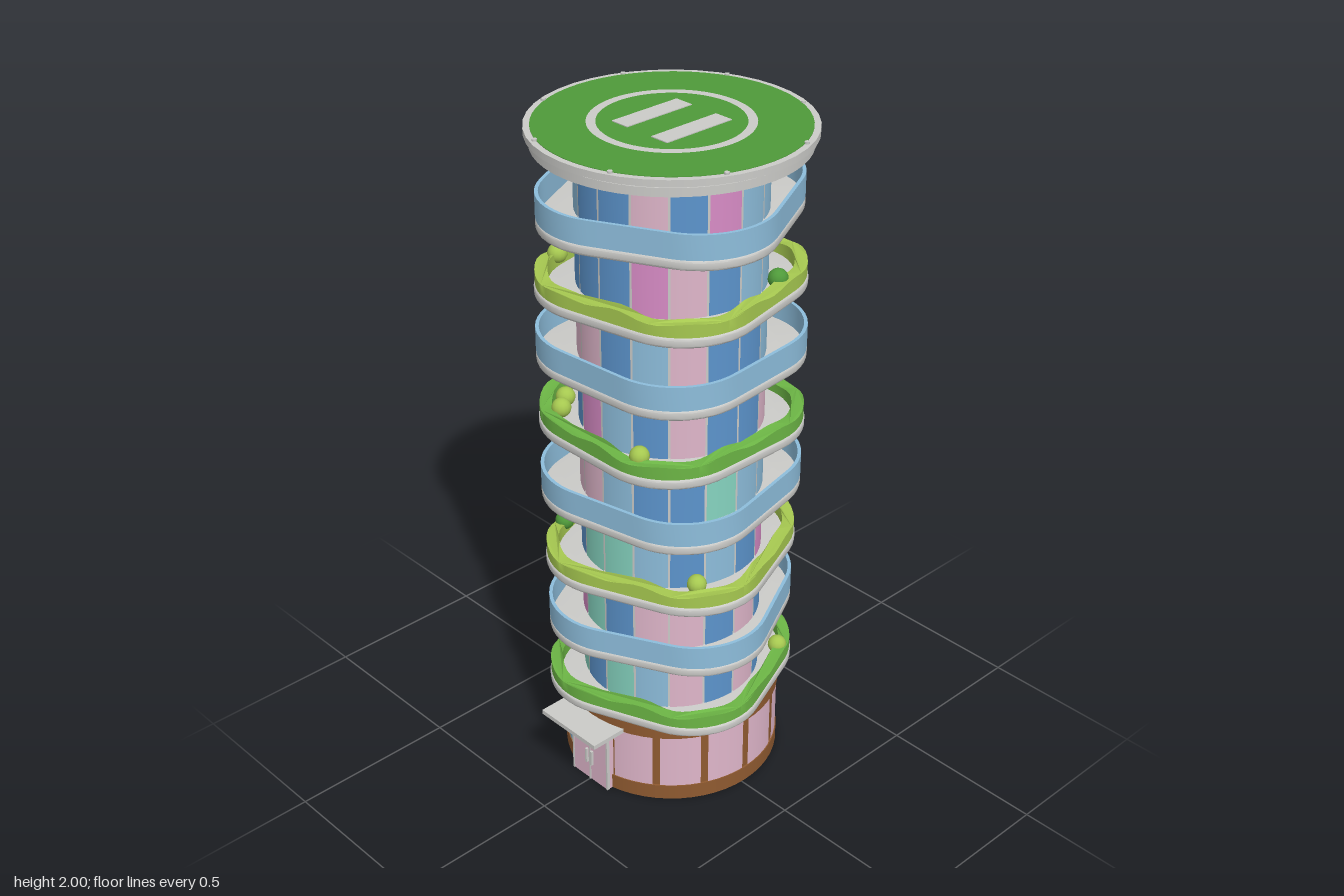
import * as THREE from 'three';
import { mergeGeometries, toCreasedNormals } from 'three/addons/utils/BufferGeometryUtils.js';

const mat = (name, color, side = THREE.FrontSide) => {
  const m = new THREE.MeshStandardMaterial({ color, side });
  m.name = name;
  return m;
};

export function createModel() {
  const M = {
    grey: mat('pale grey', 0xcbcbc8),
    brown: mat('brown', 0x8f5a30),
    dark: mat('deep green', 0x4f9a3a),
    green: mat('leaf green', 0x6cb545),
    lime: mat('lime green', 0xa6c850),
    B: mat('blue glass', 0x5c94cc),
    L: mat('light blue', 0x8dbddb),
    P: mat('pink glass', 0xdfb6ca),
    M: mat('magenta glass', 0xd88cc6),
    T: mat('teal glass', 0x86d4c0),
  };
  const model = new THREE.Group();
  model.name = 'tower';
  const tower = new THREE.Group();
  tower.name = 'building';
  tower.position.z = -0.015;
  model.add(tower);

  const add = (name, geo, material, x = 0, y = 0, z = 0, parent = tower) => {
    const mesh = new THREE.Mesh(geo, material);
    mesh.name = name;
    mesh.position.set(x, y, z);
    parent.add(mesh);
    return mesh;
  };
  const drum = (name, r, y0, y1, material, seg = 56) =>
    add(name, new THREE.CylinderGeometry(r, r, y1 - y0, seg), material, 0, (y0 + y1) / 2);
  const box = (name, w, h, d, material, x, y, z) =>
    add(name, new THREE.BoxGeometry(w, h, d), material, x, y, z);

  // Curved window panes, gathered by colour
  const panes = { B: [], L: [], P: [], M: [], T: [] };
  const paneRow = (codes, r, y0, y1, gap, offset) => {
    const step = (Math.PI * 2) / codes.length;
    [...codes].forEach((c, i) => {
      const g = new THREE.CylinderGeometry(r, r, y1 - y0, 4, 1, true,
        (i + offset) * step + gap / 2, step - gap);
      panes[c].push(g.translate(0, (y0 + y1) / 2, 0));
    });
  };

  // Rounded square outline with evenly spaced points
  const outline = (half, radius, Type = THREE.Shape) => {
    const k = half - radius;
    const s = new THREE.Shape();
    s.absarc(k, k, radius, 0, Math.PI / 2);
    s.absarc(-k, k, radius, Math.PI / 2, Math.PI);
    s.absarc(-k, -k, radius, Math.PI, Math.PI * 1.5);
    s.absarc(k, -k, radius, Math.PI * 1.5, Math.PI * 2);
    s.closePath();
    return new Type(s.getSpacedPoints(80).slice(0, -1));
  };
  const HALF = 0.325, ROUND = 0.212;
  const ring = (inset, width, height) => {
    const s = outline(HALF - inset, ROUND - inset);
    s.holes.push(outline(HALF - inset - width, ROUND - inset - width, THREE.Path));
    return new THREE.ExtrudeGeometry(s, { depth: height, bevelEnabled: false }).rotateX(-Math.PI / 2);
  };

  // Balcony parts
  const slabGeo = toCreasedNormals(new THREE.ExtrudeGeometry(outline(HALF - 0.007, ROUND - 0.007), {
    depth: 0.016, bevelThickness: 0.007, bevelSize: 0.007, bevelSegments: 3,
  }).rotateX(-Math.PI / 2).translate(0, 0.007, 0), 0.6);
  const railGeo = toCreasedNormals(ring(0, 0.01, 0.07), 0.6);
  const planterBase = ring(0.003, 0.035, 0.036);
  const pos = planterBase.attributes.position;
  for (let i = 0; i < pos.count; i++) {
    if (pos.getY(i) < 0.02) continue;
    const a = Math.atan2(pos.getX(i), pos.getZ(i));
    pos.setY(i, 0.036 + 0.005 * Math.sin(11 * a) + 0.003 * Math.sin(6 * a + 1));
  }
  planterBase.computeVertexNormals();
  const planterGeo = toCreasedNormals(planterBase, 0.7);

  // Ground floor
  drum('groundFloorCore', 0.316, 0.01, 0.262, M.brown);
  drum('plinth', 0.322, 0, 0.048, M.brown);
  drum('groundFloorCornice', 0.322, 0.225, 0.265, M.brown);
  paneRow('PPPPPPMTLLLLTL', 0.319, 0.048, 0.225, 0.07, -0.5);

  // Entrance
  box('doorBlock', 0.15, 0.195, 0.12, M.P, 0, 0.0975, 0.272);
  box('doorSeam', 0.005, 0.19, 0.004, M.grey, 0, 0.095, 0.333);
  for (const s of [-1, 1]) {
    box('doorHandle', 0.007, 0.05, 0.008, M.grey, s * 0.011, 0.085, 0.336);
    box('doorFrame', 0.006, 0.195, 0.01, M.grey, s * 0.074, 0.0975, 0.329);
  }
  box('transomWindow', 0.12, 0.025, 0.1, M.L, 0, 0.2075, 0.275);
  box('entranceCanopy', 0.23, 0.014, 0.14, M.grey, 0, 0.23, 0.345);

  // Upper floors, each with a turned balcony
  drum('towerCore', 0.257, 0.265, 1.95, M.grey);
  const floors = [
    ['TLPBPBBLTPLLBPTB', 22, 'green'],
    ['BPPBPBPLBPBLTMMT', 27],
    ['TLBLBMPLBBMBBBBT', 22, 'lime'],
    ['LBBTLLPPBMLLPPPP', 12],
    ['LBPBBPBLLLBBMPBM', 0, 'green'],
    ['BLPBBLBBPMLBLPPP', 5],
    ['BMPBLLBBLPMLPTBB', 12, 'lime'],
    ['BPBMLLBBTMBLLPLB', 27],
  ];
  floors.forEach(([codes, turn, plant], i) => {
    const y = 0.264 + i * 0.2103;
    paneRow(codes, 0.26, y + 0.03, Math.min(y + 0.208, 1.92), 0.025, 0);
    const balcony = new THREE.Group();
    balcony.name = 'balcony' + (i + 1);
    balcony.position.y = y;
    balcony.rotation.y = THREE.MathUtils.degToRad(turn);
    tower.add(balcony);
    add('slab', slabGeo, M.grey, 0, 0, 0, balcony);
    if (plant) add('planter', planterGeo, M[plant], 0, 0.03, 0, balcony);
    else add('railing', railGeo, M.L, 0, 0.03, 0, balcony);
  });
  const paneNames = { B: 'blueWindows', L: 'lightBlueWindows', P: 'pinkWindows', M: 'magentaWindows', T: 'tealWindows' };
  for (const c in panes) add(paneNames[c], mergeGeometries(panes[c]), M[c]);

  // Bushes: floor index, x, z, colour
  const bushGeo = new THREE.SphereGeometry(0.028, 14, 10);
  [
    [0, -0.3, -0.07, 'lime'], [0, -0.04, -0.305, 'dark'], [0, 0.22, -0.23, 'lime'],
    [2, -0.24, 0.2, 'dark'], [2, 0.26, 0.15, 'lime'], [2, -0.01, -0.3, 'dark'],
    [4, -0.22, 0.2, 'lime'], [4, -0.18, 0.25, 'lime'], [4, 0.16, 0.27, 'lime'],
    [6, -0.26, 0.18, 'lime'], [6, 0.26, -0.14, 'dark'], [6, -0.155, -0.27, 'lime'],
  ].forEach(([f, x, z, c]) => add('bush', bushGeo, M[c], x, 0.33 + f * 0.2103, z));

  // Rooftop landing pad
  drum('padSupport', 0.372, 1.944, 1.968, M.grey);
  drum('padNeck', 0.355, 1.965, 1.978, M.grey);
  drum('padDeck', 0.385, 1.975, 1.994, M.grey, 40);
  drum('padSurface', 0.367, 1.99, 1.9955, M.dark);
  const circle = new THREE.RingGeometry(0.197, 0.222, 64).rotateX(-Math.PI / 2);
  add('padCircle', circle, M.grey, 0, 1.9975, 0);
  for (const s of [-1, 1]) box('padStripe', 0.058, 0.003, 0.23, M.grey, s * 0.074, 1.9965, 0);
  const lampGeo = new THREE.CylinderGeometry(0.007, 0.007, 0.012, 10);
  for (let i = 0; i < 8; i++) {
    const a = ((i + 0.5) * Math.PI) / 4;
    add('padLamp', lampGeo, M.grey, 0.371 * Math.sin(a), 1.994, 0.371 * Math.cos(a));
  }
  return model;
}
